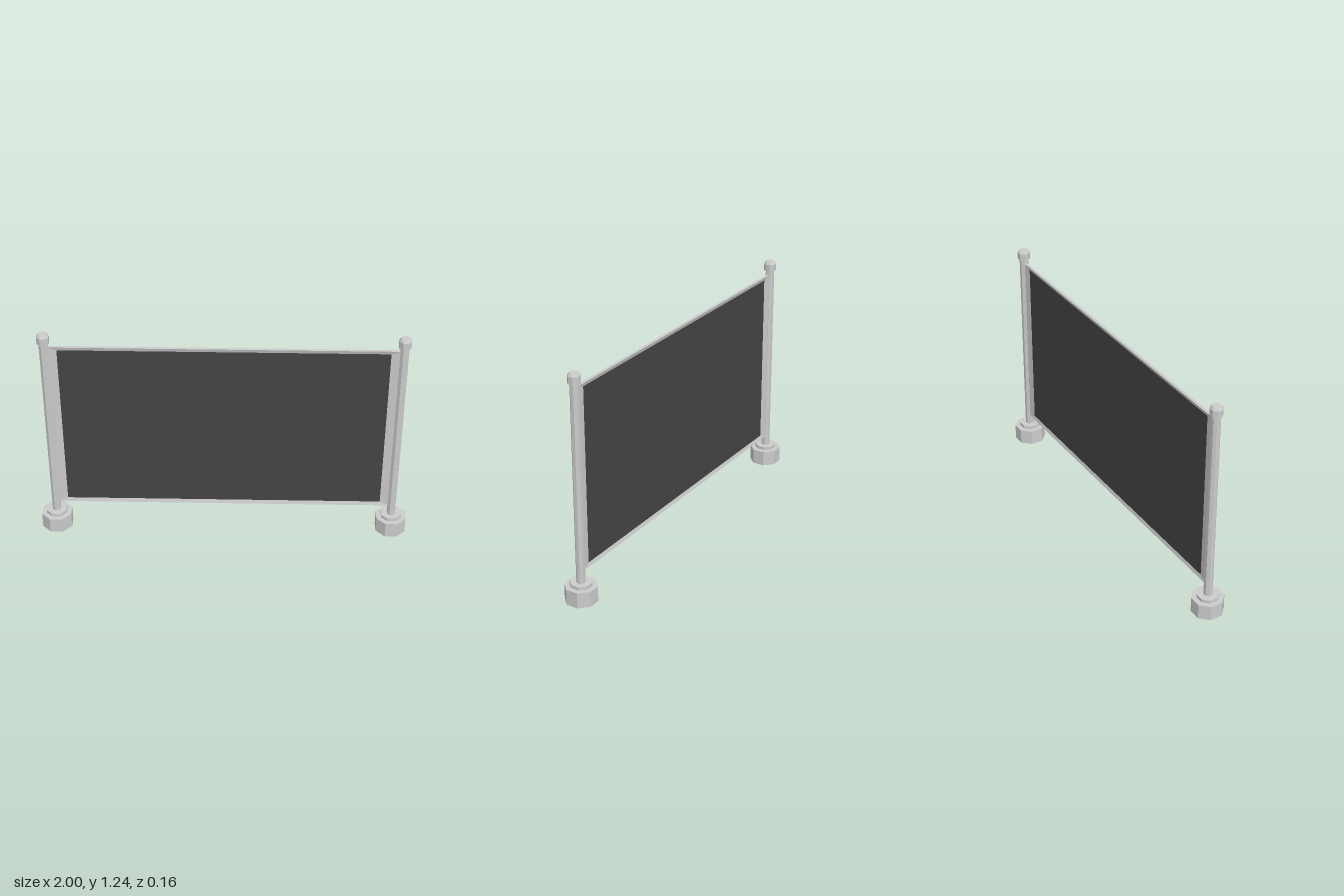
import * as THREE from 'three';

const grey = new THREE.MeshStandardMaterial({ color: 0xcccccc, flatShading: true });
const dark = new THREE.MeshStandardMaterial({ color: 0x444444, flatShading: true });

// Octagonal solid with flats facing the axes; profile is [apothem, y] from bottom to top
function octagon(name, profile) {
  const k = 1 / Math.cos(Math.PI / 8);
  const pts = profile.map(([r, y]) => new THREE.Vector2(r * k, y));
  const geo = new THREE.LatheGeometry(pts, 8, Math.PI / 8);
  const mesh = new THREE.Mesh(geo, grey);
  mesh.name = name;
  return mesh;
}

// Frame skin: rectangular rings joined by quads, each ring is [halfWidth, bottom, top, z]
function frameGeometry(rings) {
  const pos = [];
  const index = [];
  for (const [w, b, t, z] of rings) pos.push(-w, b, z, w, b, z, w, t, z, -w, t, z);
  for (let r = 0; r < rings.length - 1; r++) {
    for (let i = 0; i < 4; i++) {
      const a = r * 4 + i, c = r * 4 + (i + 1) % 4;
      index.push(a, a + 4, c + 4, a, c + 4, c);
    }
  }
  const geo = new THREE.BufferGeometry();
  geo.setAttribute('position', new THREE.Float32BufferAttribute(pos, 3));
  geo.setIndex(index);
  const flat = geo.toNonIndexed();
  flat.computeVertexNormals();
  return flat;
}

function createPost(x, side) {
  const post = new THREE.Group();
  post.name = side + 'Post';
  post.add(
    octagon('foot', [[0, 0], [0.08, 0], [0.08, 0.087], [0, 0.087]]),
    octagon('collar', [[0, 0.08], [0.054, 0.08], [0.054, 0.105], [0, 0.105]]),
    octagon('pole', [[0, 0.1], [0.022, 0.1], [0.022, 1.2], [0, 1.2]]),
    octagon('cap', [[0, 1.19], [0.031, 1.19], [0.031, 1.23], [0.023, 1.243], [0, 1.243]])
  );
  post.position.x = x;
  return post;
}

export function createModel() {
  const model = new THREE.Group();
  model.name = 'barrierScreen';
  model.add(createPost(0.92, 'left'), createPost(-0.92, 'right'));

  // Frame slopes inward to the recessed panel on both faces
  const inner = [0.854, 0.182, 1.147];
  const outer = [0.905, 0.16, 1.167];
  const frame = new THREE.Mesh(frameGeometry([
    [...inner, -0.002], [...outer, -0.008], [...outer, 0.008], [...inner, 0.002]
  ].reverse()), grey);
  frame.name = 'frame';

  const [w, b, t] = inner;
  const panel = new THREE.Mesh(new THREE.BoxGeometry(w * 2, t - b, 0.004), dark);
  panel.name = 'panel';
  panel.position.y = (b + t) / 2;

  model.add(frame, panel);
  return model;
}
